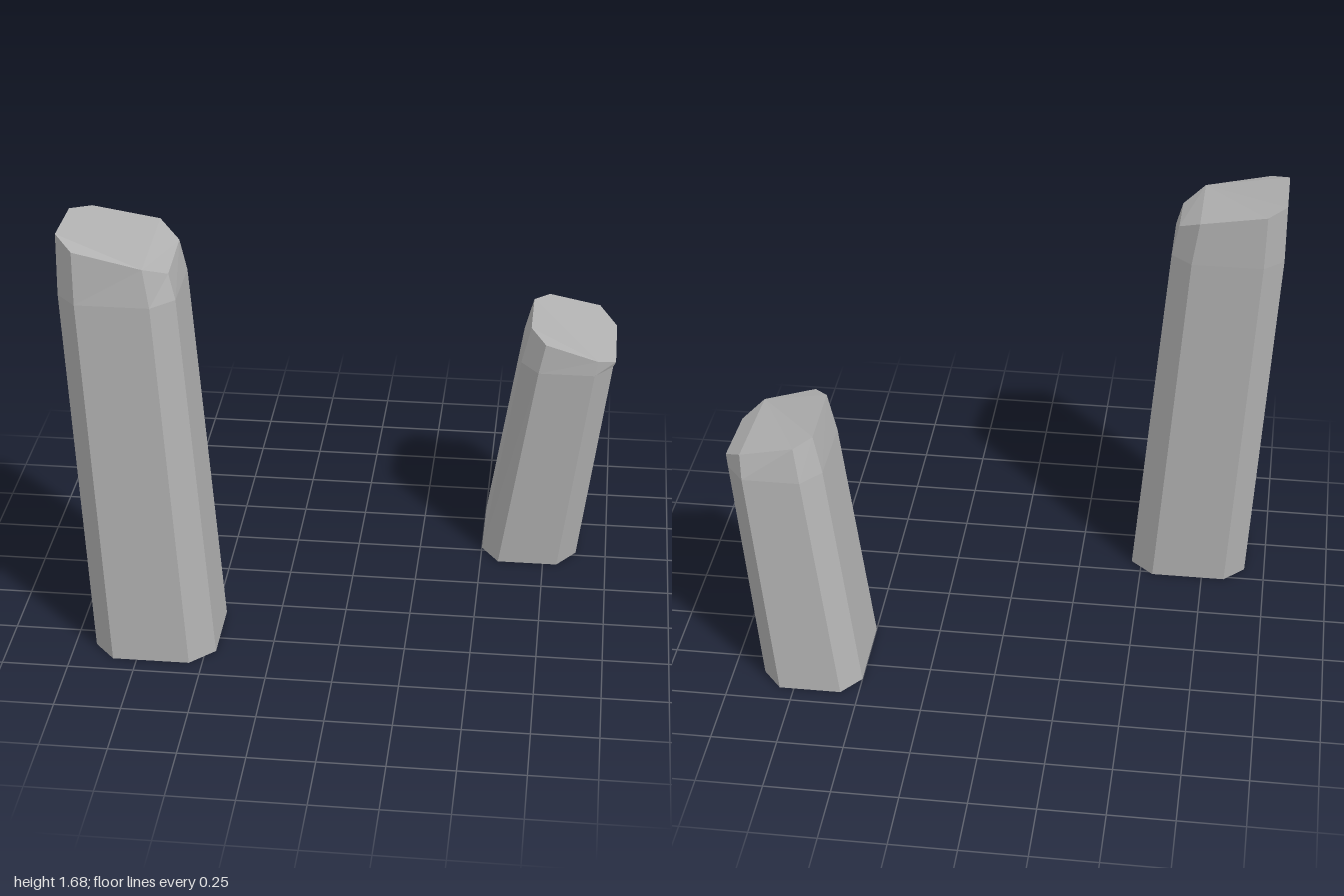
import * as THREE from 'three';

// Eight-cornered ring from four x and four z stations; y is one height or one per corner
function ring(x, z, y) {
  const corners = [[0, 2], [1, 3], [2, 3], [3, 2], [3, 1], [2, 0], [1, 0], [0, 1]];
  return corners.map(([i, j], k) => [x[i], Array.isArray(y) ? y[k] : y, z[j]]);
}

// Closed loft through rings, from the bottom up
function loft(rings) {
  const n = rings[0].length;
  const index = [];
  for (let r = 0; r < rings.length - 1; r++) {
    for (let i = 0; i < n; i++) {
      const a = r * n + i, b = r * n + (i + 1) % n;
      index.push(a, b, b + n, a, b + n, a + n);
    }
  }
  const top = (rings.length - 1) * n;
  for (let i = 1; i < n - 1; i++) {
    index.push(0, i + 1, i);
    index.push(top + 2, top + (2 + i) % n, top + (3 + i) % n);
  }
  const geometry = new THREE.BufferGeometry();
  geometry.setAttribute('position', new THREE.Float32BufferAttribute(rings.flat(2), 3));
  geometry.setIndex(index);
  const flat = geometry.toNonIndexed();
  flat.computeVertexNormals();
  return flat;
}

export function createModel() {
  const group = new THREE.Group();
  const stone = new THREE.MeshStandardMaterial({ name: 'stoneGrey', color: 0xb0b0b0, flatShading: true });

  // Leaning posts: base, shoulder and sloping broken top
  const posts = {
    tallPost: [
      ring([-0.92, -0.84, -0.55, -0.46], [0.235, 0.315, 0.59, 0.68], 0),
      ring([-1.0, -0.925, -0.655, -0.575], [0.215, 0.285, 0.545, 0.625], 1.45),
      ring([-1.0, -0.93, -0.68, -0.6], [0.22, 0.29, 0.53, 0.605],
        [1.68, 1.645, 1.59, 1.545, 1.57, 1.62, 1.66, 1.675]),
    ],
    shortPost: [
      ring([0.5, 0.57, 0.805, 0.88], [-0.68, -0.59, -0.27, -0.17], 0),
      ring([0.635, 0.705, 0.92, 0.99], [-0.595, -0.51, -0.21, -0.12], 0.885),
      ring([0.67, 0.73, 0.93, 1.0], [-0.565, -0.49, -0.21, -0.125],
        [1.035, 1.005, 0.945, 0.905, 0.925, 0.975, 1.015, 1.025]),
    ],
  };
  for (const [name, rings] of Object.entries(posts)) {
    const mesh = new THREE.Mesh(loft(rings), stone);
    mesh.name = name;
    group.add(mesh);
  }
  return group;
}
